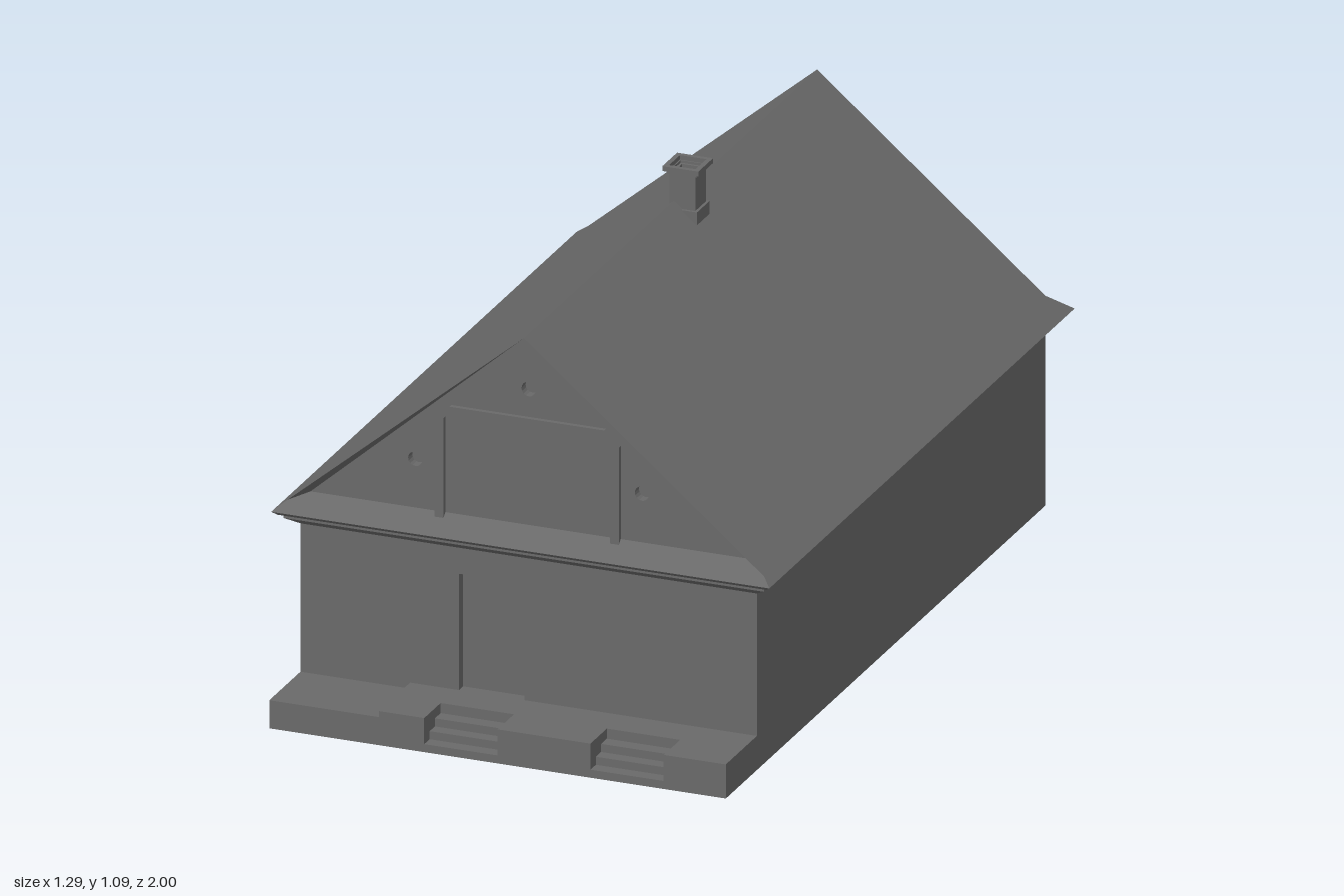
import * as THREE from 'three';

const material = new THREE.MeshStandardMaterial({ color: 0x696969, flatShading: true, side: THREE.DoubleSide });

// House outline
const CX = 0.022, HALF = 0.57, FRONT = 0.81, BACK = -0.948, WALL_TOP = 0.44;
const LEFT = CX + HALF, RIGHT = CX - HALF;
const RIDGE = 1.0, EAVE = 0.48, OVER = 0.052, VERGE = 0.84;
const GABLE_BASE = EAVE + (RIDGE - EAVE) * OVER / (HALF + OVER);
const DECK = 0.085;

function add(parent, name, geometry) {
  const mesh = new THREE.Mesh(geometry, material);
  mesh.name = name;
  parent.add(mesh);
  return mesh;
}

// Flat polygons given as lists of [x, y, z] corners, fanned into triangles
function facets(polygons) {
  const pos = [];
  for (const p of polygons)
    for (let i = 1; i < p.length - 1; i++) pos.push(...p[0], ...p[i], ...p[i + 1]);
  const g = new THREE.BufferGeometry();
  g.setAttribute('position', new THREE.Float32BufferAttribute(pos, 3));
  g.computeVertexNormals();
  return g;
}

const shapeOf = (pts) => new THREE.Shape(pts.map(([x, y]) => new THREE.Vector2(x, y)));
const pathOf = (pts) => new THREE.Path(pts.map(([x, y]) => new THREE.Vector2(x, y)));
const rect = (x0, y0, x1, y1) => [[x0, y0], [x1, y0], [x1, y1], [x0, y1]];
const circle = (x, y, r, n = 16) => Array.from({ length: n }, (_, i) => {
  const a = (i / n) * Math.PI * 2;
  return [x + r * Math.cos(a), y + r * Math.sin(a)];
});

// Wall in the local xy plane with recessed openings going towards -z
function piercedWall(name, outline, openings) {
  const group = new THREE.Group();
  group.name = name;
  const shape = shapeOf(outline);
  for (const { label, pts, depth } of openings) {
    shape.holes.push(pathOf(pts));
    add(group, label + 'Jamb', facets(pts.map(([x, y], i) => {
      const [u, v] = pts[(i + 1) % pts.length];
      return [[x, y, 0], [u, v, 0], [u, v, -depth], [x, y, -depth]];
    })));
    add(group, label + 'Panel', new THREE.ShapeGeometry(shapeOf(pts))).position.z = -depth;
  }
  add(group, name + 'Face', new THREE.ShapeGeometry(shape));
  return group;
}

// Corners of the house outline grown by d at height y
const ring = (d, y) => [
  [RIGHT - d, y, FRONT + d], [LEFT + d, y, FRONT + d],
  [LEFT + d, y, BACK - d], [RIGHT - d, y, BACK - d],
];

// Sheet following a [z, y] profile from x0 to x1
const strip = (profile, x0, x1) => profile.slice(1).map(([z, y], i) => {
  const [pz, py] = profile[i];
  return [[x0, py, pz], [x0, y, z], [x1, y, z], [x1, py, pz]];
});

// Square tube around the y axis
function squareTube(outer, inner, height) {
  const s = shapeOf(rect(-outer, -outer, outer, outer));
  s.holes.push(pathOf(rect(-inner, -inner, inner, inner)));
  return new THREE.ExtrudeGeometry(s, { depth: height, bevelEnabled: false }).rotateX(-Math.PI / 2);
}

function buildWalls(house) {
  const front = piercedWall('frontWall', rect(RIGHT, 0.07, LEFT, WALL_TOP), [
    { label: 'frontDoor', pts: rect(-0.152, DECK, 0.012, 0.375), depth: 0.025 },
  ]);
  front.position.z = FRONT;
  const side = piercedWall('rightWall', rect(BACK, 0, FRONT, WALL_TOP), [
    { label: 'sideDoor', pts: rect(-0.36, 0.03, -0.205, 0.32), depth: 0.05 },
  ]);
  side.rotation.y = -Math.PI / 2;
  side.position.x = RIGHT;
  house.add(front, side);
  add(house, 'leftWall', facets([[[LEFT, 0, FRONT], [LEFT, 0, BACK], [LEFT, WALL_TOP, BACK], [LEFT, WALL_TOP, FRONT]]]));
  add(house, 'backWall', facets([[[LEFT, 0, BACK], [RIGHT, 0, BACK], [RIGHT, WALL_TOP, BACK], [LEFT, WALL_TOP, BACK]]]));
}

function buildRoof(house) {
  // Moulded cornice all round
  const rings = [[0, 0.44], [0.03, 0.46], [0.03, 0.468], [0.04, 0.47], [OVER, EAVE]].map(([d, y]) => ring(d, y));
  const bands = [];
  for (let r = 0; r < rings.length - 1; r++)
    for (let i = 0; i < 4; i++) {
      const j = (i + 1) % 4;
      bands.push([rings[r][i], rings[r][j], rings[r + 1][j], rings[r + 1][i]]);
    }
  add(house, 'cornice', facets(bands));

  // Sloping skirts below the gables
  const low = ring(OVER, EAVE), high = ring(0, GABLE_BASE);
  add(house, 'frontSkirtRoof', facets([[low[0], low[1], high[1], high[0]]]));
  add(house, 'backSkirtRoof', facets([[low[2], low[3], high[3], high[2]]]));

  // Main slopes, mirrored about the ridge, each fanned from its front ridge end
  for (const s of [1, -1]) {
    const at = (h, z) => [CX + s * h, RIDGE - (RIDGE - EAVE) * h / (HALF + OVER), z];
    const out = HALF + OVER;
    const main = [at(0, VERGE), at(out, VERGE), at(out, BACK - OVER), at(HALF, BACK), at(0, BACK)];
    const corner = [at(out, VERGE), at(out, FRONT + OVER), at(HALF, FRONT)];
    // Soffit leaning in from the verge to the gable
    const soffit = [at(0, VERGE), at(0, FRONT), [CX + s * 0.545, GABLE_BASE, FRONT], at(HALF + 0.02, VERGE)];
    const side = s > 0 ? 'left' : 'right';
    const ordered = (p) => (s > 0 ? p : [p[0], ...p.slice(1).reverse()]);
    add(house, side + 'RoofSlope', facets([main, corner].map(ordered)));
    add(house, side + 'Soffit', facets([ordered(soffit)]));
  }
}

function buildGables(house) {
  const triangle = [[RIGHT, GABLE_BASE], [LEFT, GABLE_BASE], [CX, RIDGE]];
  const vents = [[CX, 0.862], [CX - 0.283, 0.645], [CX + 0.283, 0.645]];
  const front = piercedWall('frontGable', triangle,
    vents.map(([x, y]) => ({ label: 'roundVent', pts: circle(x, y, 0.018), depth: 0.025 })));
  front.position.z = FRONT;
  house.add(front);

  // Timber frame through the gable, with clipped upper corners
  const arch = (w, top, clip) => [
    [CX - w, top - clip], [CX - w + clip, top], [CX + w - clip, top], [CX + w, top - clip],
  ];
  const foot = 0.512;
  const frame = shapeOf([
    [CX - 0.23, foot], ...arch(0.23, 0.793, 0.037), [CX + 0.23, foot],
    [CX + 0.208, foot], ...arch(0.208, 0.776, 0.014).reverse(), [CX - 0.208, foot],
  ]);
  add(house, 'gableFrame', new THREE.ExtrudeGeometry(frame, { depth: 0.03, bevelEnabled: false })).position.z = FRONT - 0.018;

  const back = add(house, 'backGable', new THREE.ShapeGeometry(shapeOf(triangle)));
  back.rotation.y = Math.PI;
  back.position.set(2 * CX, 0, BACK);
}

function buildTerrace(house) {
  const EDGE = 1.0, LOW = 0.07, CHANGE = -0.274;
  const plain = (h) => [[FRONT, h], [EDGE, h], [EDGE, 0]];
  const steps = [[FRONT, DECK], [0.9, DECK], [0.9, 0.06], [0.935, 0.06], [0.935, 0.04],
    [0.967, 0.04], [0.967, 0.02], [EDGE, 0.02], [EDGE, 0]];
  const stairs = [[-0.161, 0.022], [0.254, 0.437]];
  const faces = [...strip(plain(LOW), RIGHT, CHANGE)];
  let x = CHANGE;
  for (const [a, b] of stairs) {
    faces.push(...strip(plain(DECK), x, a), ...strip(steps, a, b));
    // Cheeks beside each sunken flight
    for (const c of [a, b])
      faces.push(...[[0.9, 0.935, 0.06], [0.935, 0.967, 0.04], [0.967, EDGE, 0.02]].map(([z0, z1, y]) =>
        [[c, y, z0], [c, y, z1], [c, DECK, z1], [c, DECK, z0]]));
    x = b;
  }
  faces.push(...strip(plain(DECK), x, LEFT));
  // End faces and the small change of level
  for (const [ex, y0, y1] of [[RIGHT, 0, LOW], [LEFT, 0, DECK], [CHANGE, LOW, DECK]])
    faces.push([[ex, y0, FRONT], [ex, y0, EDGE], [ex, y1, EDGE], [ex, y1, FRONT]]);
  add(house, 'frontTerrace', facets(faces));
}

function buildSideSteps(house) {
  for (const [depth, y] of [[0.1, 0], [0.072, 0.015]])
    add(house, 'sideStep', new THREE.BoxGeometry(depth, 0.015, 0.15))
      .position.set(RIGHT - depth / 2, y + 0.0075, -0.285);
}

function buildChimney(house) {
  const chimney = new THREE.Group();
  chimney.name = 'chimney';
  const parts = [
    ['chimneyBase', 0.039, 0.03, 0.95, 0.032],
    ['chimneyShaft', 0.032, 0.024, 0.95, 0.12],
    ['chimneyNeck', 0.038, 0.03, 1.068, 0.008],
    ['chimneyCap', 0.045, 0.033, 1.075, 0.012],
  ];
  for (const [name, outer, inner, y, h] of parts)
    add(chimney, name, squareTube(outer, inner, h)).position.y = y;
  chimney.position.set(0.043, 0, -0.108);
  house.add(chimney);
}

export function createModel() {
  const house = new THREE.Group();
  house.name = 'house';
  for (const build of [buildWalls, buildRoof, buildGables, buildTerrace, buildSideSteps, buildChimney]) build(house);
  return house;
}
